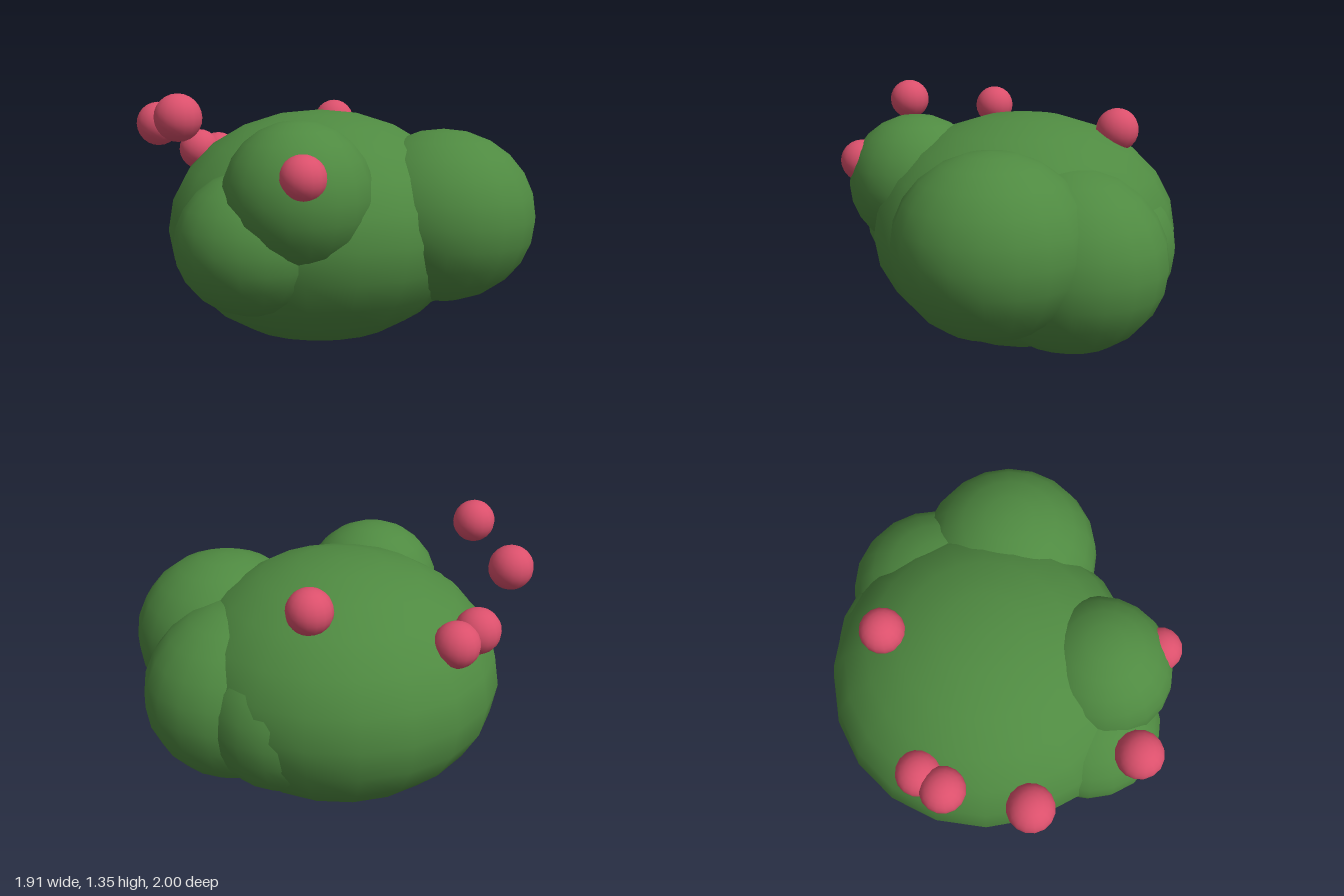
import * as THREE from 'three';

export function createModel() {
  const bush = new THREE.Group();
  bush.name = 'berryBush';

  const leafGreen = new THREE.MeshStandardMaterial({ color: 0x4f8a41 });
  leafGreen.name = 'leafGreen';
  const berryPink = new THREE.MeshStandardMaterial({ color: 0xdb506c });
  berryPink.name = 'berryPink';

  const leafBall = new THREE.SphereGeometry(1, 20, 12);
  const berryBall = new THREE.SphereGeometry(0.112, 16, 12);

  // Foliage: overlapping squashed balls [name, centre, radii]
  const clumps = [
    ['mainFoliage', [-0.14, 0.625, -0.03], [0.815, 0.62, 0.81]],
    ['leftFoliage', [0.47, 0.705, -0.31], [0.485, 0.45, 0.48]],
    ['backFoliage', [0.1, 0.585, -0.49], [0.47, 0.465, 0.51]],
    ['backRightFoliage', [-0.21, 0.58, -0.45], [0.41, 0.41, 0.415]],
    ['frontLowerFoliage', [-0.06, 0.62, 0.555], [0.385, 0.36, 0.395]],
    ['frontUpperFoliage', [0.16, 0.86, 0.47], [0.365, 0.365, 0.375]],
  ];
  for (const [name, centre, radii] of clumps) {
    const clump = new THREE.Mesh(leafBall, leafGreen);
    clump.name = name;
    clump.position.set(...centre);
    clump.scale.set(...radii);
    bush.add(clump);
  }

  // Berries scattered over the foliage
  const berries = [
    [-0.21, 1.24, 0.885],
    [-0.68, 1.18, 0.62],
    [-0.82, 1.01, 0.22],
    [-0.82, 0.985, 0.075],
    [-0.39, 1.165, -0.45],
    [0.375, 0.98, 0.675],
  ];
  berries.forEach((centre, i) => {
    const berry = new THREE.Mesh(berryBall, berryPink);
    berry.name = `berry${i + 1}`;
    berry.position.set(...centre);
    bush.add(berry);
  });

  return bush;
}
